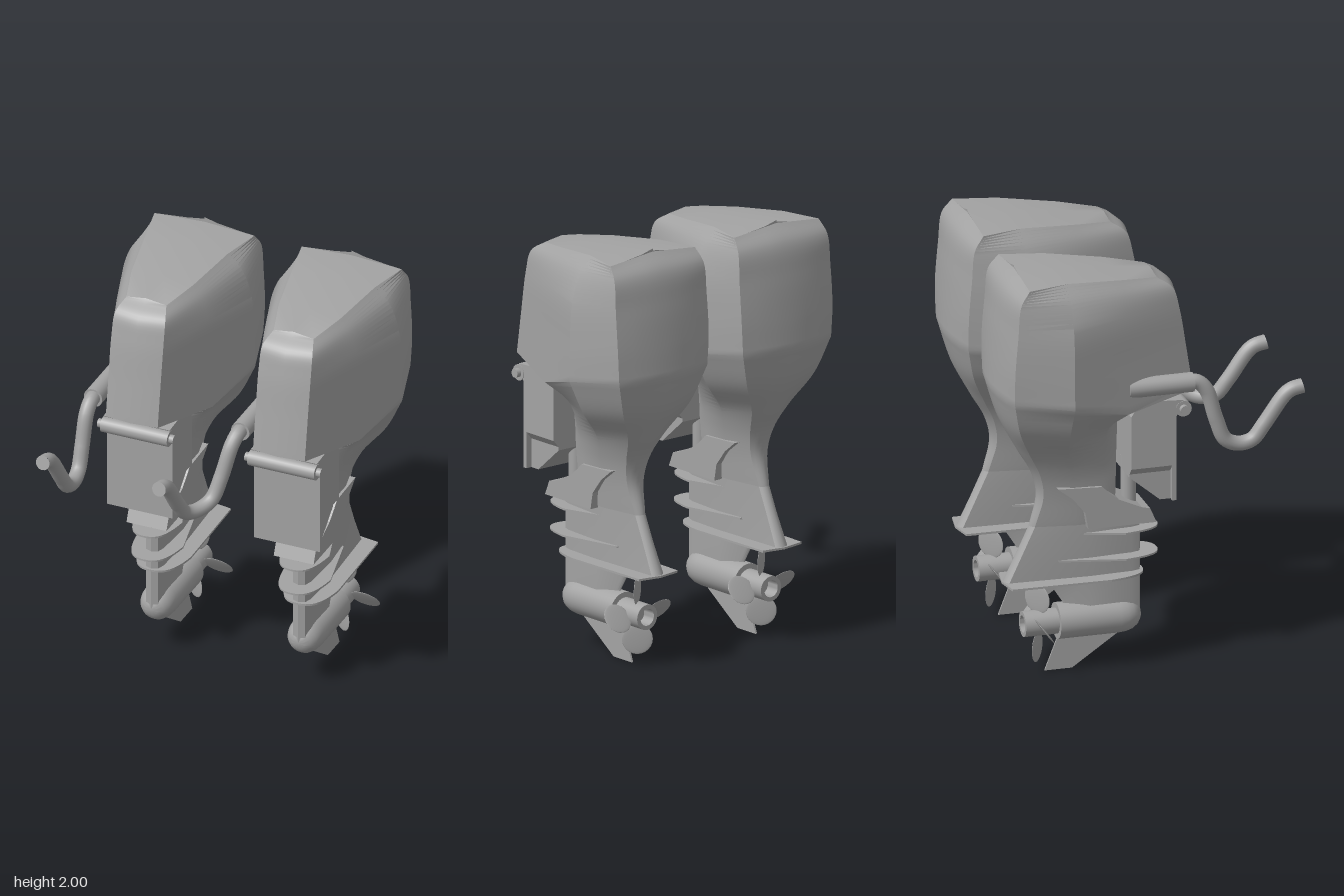
import * as THREE from 'three';
import { mergeGeometries, toCreasedNormals } from 'three/addons/utils/BufferGeometryUtils.js';

const grey = new THREE.MeshStandardMaterial({ color: 0xa3a3a3 });
grey.name = 'grey';

function add(group, name, geometry, x = 0, y = 0, z = 0) {
  const mesh = new THREE.Mesh(geometry, grey);
  mesh.name = name;
  mesh.position.set(x, y, z);
  group.add(mesh);
  return mesh;
}

// Half section from front centre to rear centre; the rear face bows out between its corner and the centre.
function section(points) {
  const p = points.map((a) => new THREE.Vector3(...a));
  const end = p.pop(), corner = p[p.length - 1];
  for (const t of [0.3, 0.65]) {
    const q = corner.clone().lerp(end, t);
    q.z = corner.z + (end.z - corner.z) * (1 - (1 - t) ** 2);
    p.push(q);
  }
  return [...p, end];
}

// Skin stacked half sections, mirrored in x, optionally splined from row to row.
function loft(rows, steps = 1) {
  const columns = rows[0].map((_, c) => {
    const path = rows.map((r) => r[c]);
    if (steps === 1) return path;
    const curve = new THREE.CatmullRomCurve3(path);
    const out = [];
    for (let i = 0; i <= (rows.length - 1) * steps; i++) out.push(curve.getPoint(i / ((rows.length - 1) * steps)));
    return out;
  });
  const mirrored = columns.slice(1).reverse().map((col) => col.map((v) => new THREE.Vector3(-v.x, v.y, v.z)));
  const all = [...mirrored, ...columns], tri = [];
  for (let c = 0; c < all.length - 1; c++) {
    for (let r = 0; r < all[c].length - 1; r++) {
      const a = all[c][r], b = all[c + 1][r], d = all[c][r + 1], e = all[c + 1][r + 1];
      tri.push(a, d, b, b, d, e);
    }
  }
  return new THREE.BufferGeometry().setFromPoints(tri);
}

// Side profile given as [z, y], extruded across x.
function sideExtrude(points, width) {
  const shape = new THREE.Shape(points.map(([z, y]) => new THREE.Vector2(-z, y)));
  const g = new THREE.ExtrudeGeometry(shape, { depth: width, bevelEnabled: false });
  return g.translate(0, 0, -width / 2).rotateY(Math.PI / 2);
}

// Thin horizontal fin with a rounded nose.
function fin(zFront, zBack, w, wBack, t) {
  const s = new THREE.Shape();
  s.moveTo(0, -zFront);
  s.bezierCurveTo(w * 0.6, -zFront, w * 0.85, -zFront + 0.05, w, -zFront + 0.18);
  s.lineTo(wBack, -zBack - 0.02);
  s.lineTo(0, -zBack);
  s.lineTo(-wBack, -zBack - 0.02);
  s.lineTo(-w, -zFront + 0.18);
  s.bezierCurveTo(-w * 0.85, -zFront + 0.05, -w * 0.6, -zFront, 0, -zFront);
  const g = new THREE.ExtrudeGeometry(s, { depth: t, bevelEnabled: false, curveSegments: 10 });
  // shape y runs towards the rear, so turn it onto -z
  return g.rotateX(-Math.PI / 2).translate(0, -t / 2, 0);
}

function lathe(points) {
  const g = new THREE.LatheGeometry(points.map(([r, d]) => new THREE.Vector2(r, d)), 32);
  return toCreasedNormals(g.rotateX(-Math.PI / 2), 0.6);
}

function housing() {
  // cowl rows from the top edge down to the lower lip
  const cowl = [
    [[0, 1.915, 0.06], [0.10, 1.91, 0.05], [0.155, 1.935, -0.13], [0.205, 1.965, -0.40], [0.25, 1.965, -0.60], [0, 1.99, -0.60]],
    [[0, 1.86, 0.14], [0.125, 1.86, 0.12], [0.20, 1.87, -0.13], [0.275, 1.89, -0.41], [0.265, 1.90, -0.645], [0, 1.91, -0.665]],
    [[0, 1.76, 0.172], [0.13, 1.76, 0.15], [0.23, 1.76, -0.13], [0.322, 1.76, -0.41], [0.27, 1.76, -0.66], [0, 1.76, -0.692]],
    [[0, 1.55, 0.205], [0.13, 1.55, 0.185], [0.24, 1.55, -0.13], [0.336, 1.55, -0.41], [0.27, 1.57, -0.675], [0, 1.57, -0.708]],
    [[0, 1.36, 0.235], [0.13, 1.355, 0.215], [0.25, 1.31, -0.13], [0.338, 1.39, -0.41], [0.262, 1.42, -0.675], [0, 1.42, -0.715]],
  ].map(section);
  const crown = cowl[0].map((v, i) => new THREE.Vector3(0, v.y + (i > 0 ? 0.014 : 0), v.z));
  const lip = cowl[4];
  // midsection rows from beneath the cowl down to the lower unit
  const leg = [
    [[0, 1.305, -0.135], [0.10, 1.305, -0.135], [0.25, 1.31, -0.13], [0.338, 1.39, -0.41], [0.262, 1.42, -0.675], [0, 1.42, -0.715]],
    [[0, 1.22, -0.135], [0.09, 1.22, -0.135], [0.17, 1.22, -0.2], [0.26, 1.23, -0.41], [0.20, 1.25, -0.63], [0, 1.25, -0.665]],
    [[0, 1.08, -0.135], [0.075, 1.08, -0.135], [0.11, 1.08, -0.2], [0.15, 1.09, -0.38], [0.11, 1.10, -0.555], [0, 1.10, -0.588]],
    [[0, 0.98, -0.135], [0.07, 0.98, -0.135], [0.09, 0.98, -0.2], [0.105, 0.98, -0.35], [0.07, 0.98, -0.495], [0, 0.98, -0.52]],
    [[0, 0.87, -0.135], [0.06, 0.87, -0.135], [0.08, 0.87, -0.2], [0.08, 0.87, -0.33], [0.05, 0.87, -0.475], [0, 0.87, -0.495]],
    [[0, 0.72, -0.135], [0.05, 0.72, -0.135], [0.06, 0.72, -0.2], [0.06, 0.72, -0.32], [0.03, 0.72, -0.51], [0, 0.72, -0.53]],
  ].map(section);
  const g = mergeGeometries([
    loft([crown, cowl[0]]), loft(cowl, 6),
    loft([lip.slice(0, 3), leg[0].slice(0, 3)]), loft(leg, 6),
  ]);
  return toCreasedNormals(g, 0.5);
}

function lowerUnit() {
  const row = (y, zB, w, wB) => section([[0, y, 0], [0.03, y, -0.012], [0.042, y, -0.05], [w, y, -0.25], [wB, y, zB + 0.02], [0, y, zB]]);
  const g = mergeGeometries([
    loft([row(0.73, -0.525, 0.06, 0.03), row(0.6, -0.585, 0.055, 0.03), row(0.455, -0.655, 0.05, 0.035)]),
    loft([row(0.455, -0.45, 0.045, 0.012), row(0.33, -0.37, 0.045, 0.012), row(0.24, -0.37, 0.045, 0.012)]),
  ]);
  return toCreasedNormals(g, 0.6);
}

function bracket() {
  const g = new THREE.Group();
  g.name = 'mountingBracket';
  add(g, 'bracketBody', sideExtrude([[0.125, 1.005], [0.125, 1.24], [0.16, 1.32], [-0.02, 1.33], [-0.06, 1.31], [-0.09, 1.26], [-0.09, 1.005]], 0.33));
  add(g, 'frontPlate', new THREE.BoxGeometry(0.33, 0.4, 0.02), 0, 1.033, 0.115);
  // sloping step where the bracket narrows
  const step = new THREE.BoxGeometry(0.33, 0.035, 0.195);
  const p = step.attributes.position;
  for (let i = 0; i < p.count; i++) if (p.getY(i) < 0) p.setX(i, p.getX(i) * 0.82);
  step.computeVertexNormals();
  add(g, 'bracketStep', step, 0, 0.988, 0.0075);
  add(g, 'bracketFoot', sideExtrude([[0.105, 0.98], [0.105, 0.833], [0.055, 0.833], [-0.09, 0.955], [-0.09, 0.98]], 0.27));
  const bar = (r, len) => new THREE.CylinderGeometry(r, r, len, 24).rotateZ(Math.PI / 2);
  add(g, 'tiltTube', bar(0.038, 0.335), 0, 1.277, 0.16);
  add(g, 'tiltBolt', bar(0.021, 0.38), 0, 1.277, 0.16);
  add(g, 'swivelPin', new THREE.CylinderGeometry(0.036, 0.036, 0.28, 24), 0, 0.88, -0.055);
  return g;
}

function propeller() {
  const g = new THREE.Group();
  g.name = 'propeller';
  g.position.set(0, 0.24, 0);
  add(g, 'hub', lathe([[0.06, 0.38], [0.06, 0.56], [0.04, 0.56], [0.04, 0.49], [0, 0.49]]));
  for (let i = 0; i < 4; i++) {
    const blade = new THREE.SphereGeometry(1, 24, 12).scale(0.071, 0.072, 0.005).rotateY(0.64);
    add(g, 'blade', blade.translate(0, 0.118, 0).rotateZ(i * Math.PI / 2), 0, 0, -0.49);
  }
  return g;
}

// Steering hose; xs gives the sideways position of each point along the bend.
function hose(xs) {
  const g = new THREE.Group();
  g.name = 'steeringHose';
  const zy = [[0.15, 1.42], [0.21, 1.42], [0.255, 1.375], [0.30, 1.23], [0.345, 1.125], [0.41, 1.095], [0.475, 1.11], [0.53, 1.18], [0.625, 1.315], [0.66, 1.34], [0.71, 1.352]];
  const curve = new THREE.CatmullRomCurve3(zy.map(([z, y], i) => new THREE.Vector3(xs[i], y, z)));
  add(g, 'sleeve', new THREE.CylinderGeometry(0.046, 0.046, 0.31, 24).rotateX(Math.PI / 2), -0.205, 1.42, 0.035);
  add(g, 'tube', new THREE.TubeGeometry(curve, 70, 0.035, 16));
  const cap = add(g, 'tubeEnd', new THREE.CircleGeometry(0.035, 16));
  cap.position.copy(curve.getPoint(1));
  cap.quaternion.setFromUnitVectors(new THREE.Vector3(0, 0, 1), curve.getTangent(1));
  return g;
}

function motor(name, x, hoseXs) {
  const g = new THREE.Group();
  g.name = name;
  g.position.x = x;
  add(g, 'cowlAndMidsection', housing());
  add(g, 'collar', sideExtrude([[0.05, 0.71], [0.02, 0.78], [-0.02, 0.79], [-0.13, 0.84], [-0.18, 0.88], [-0.21, 0.91], [-0.42, 0.92], [-0.35, 0.865], [-0.29, 0.79], [-0.275, 0.71]], 0.2));
  add(g, 'lowerUnit', lowerUnit());
  add(g, 'upperFin', fin(0.08, -0.32, 0.112, 0.05, 0.009), 0, 0.672, 0);
  add(g, 'middleFin', fin(0.08, -0.42, 0.118, 0.05, 0.009), 0, 0.547, 0);
  add(g, 'cavitationPlate', fin(0.01, -0.66, 0.125, 0.115, 0.01), 0, 0.455, 0);
  add(g, 'gearcase', lathe([[0, 0], [0.03, 0.004], [0.055, 0.02], [0.073, 0.045], [0.082, 0.075], [0.085, 0.11], [0.085, 0.4], [0, 0.4]]), 0, 0.24, 0);
  add(g, 'skeg', sideExtrude([[-0.08, 0.17], [-0.325, 0.003], [-0.455, 0.003], [-0.39, 0.17]], 0.009));
  g.add(propeller(), bracket(), hose(hoseXs));
  return g;
}

export function createModel() {
  const model = new THREE.Group();
  model.name = 'twinOutboardMotors';
  model.add(
    motor('rightMotor', -0.37, [-0.205, -0.205, -0.208, -0.21, -0.208, -0.205, -0.208, -0.212, -0.22, -0.222, -0.225]),
    motor('leftMotor', 0.367, [-0.205, -0.208, -0.22, -0.25, -0.28, -0.32, -0.352, -0.367, -0.375, -0.377, -0.38]),
  );
  return model;
}
